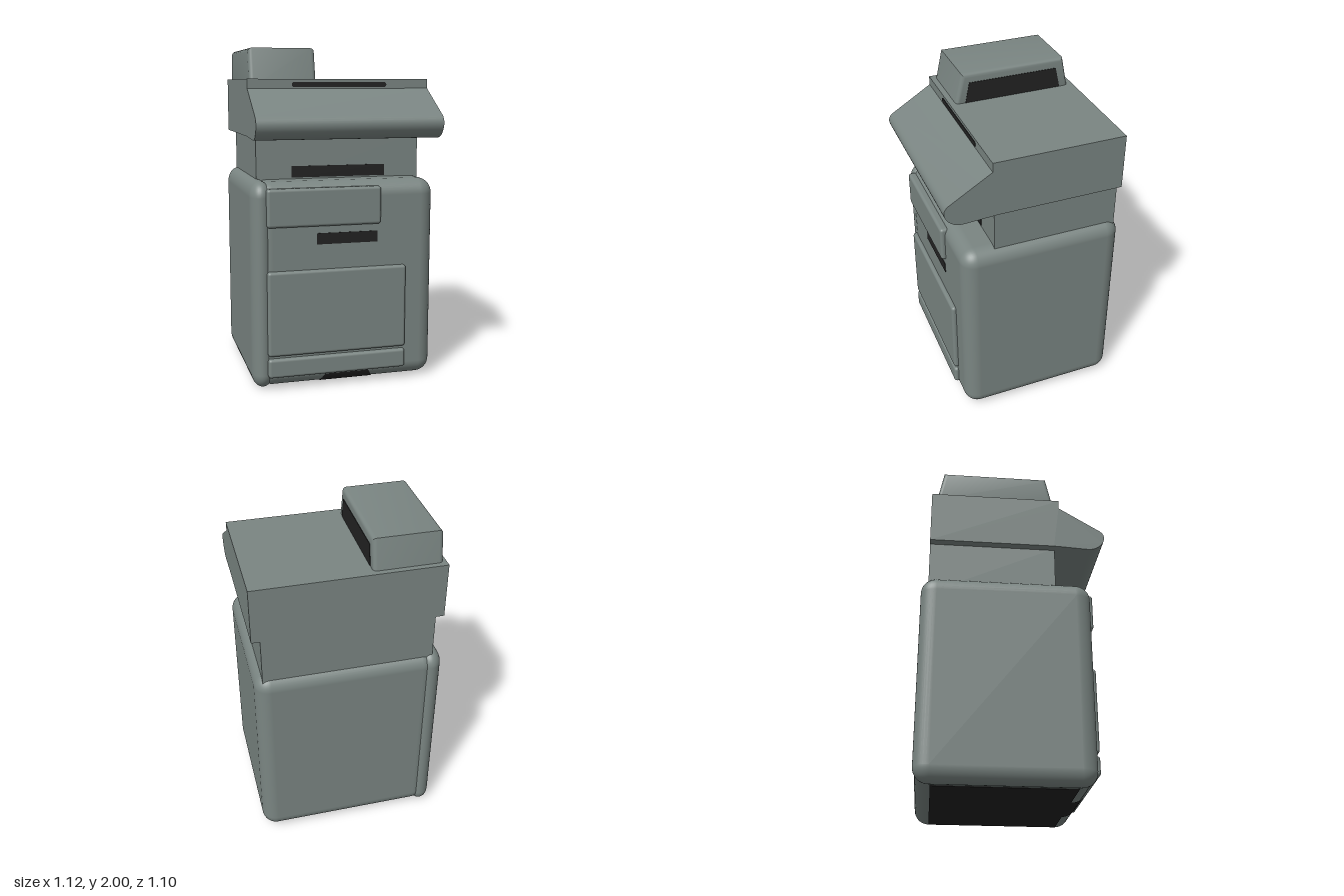
import * as THREE from 'three';
import { RoundedBoxGeometry } from 'three/addons/geometries/RoundedBoxGeometry.js';
import { toCreasedNormals } from 'three/addons/utils/BufferGeometryUtils.js';

export function createModel() {
  const model = new THREE.Group();
  model.name = 'officeCopier';

  const casing = new THREE.MeshStandardMaterial({ color: 0x7a8582 });
  casing.name = 'greyCasing';
  const dark = new THREE.MeshStandardMaterial({ color: 0x222222 });
  dark.name = 'darkOpening';

  const add = (name, geometry, material) => {
    const mesh = new THREE.Mesh(geometry, material);
    mesh.name = name;
    model.add(mesh);
    return mesh;
  };

  // Boxes given by their minimum and maximum corners; r rounds the edges
  const box = (name, [x0, y0, z0], [x1, y1, z1], material, r = 0) => {
    const size = [x1 - x0, y1 - y0, z1 - z0];
    const geometry = r ? new RoundedBoxGeometry(...size, 5, r) : new THREE.BoxGeometry(...size);
    geometry.translate((x0 + x1) / 2, (y0 + y1) / 2, (z0 + z1) / 2);
    return add(name, geometry, material);
  };

  // Side profile (z, y) extruded from x0 to x1, optionally bevelled inside its size
  const sideProfile = (name, shape, x0, x1, material, bevel = 0) => {
    const geometry = new THREE.ExtrudeGeometry(shape, {
      depth: x1 - x0 - 2 * bevel, curveSegments: 14,
      bevelEnabled: bevel > 0, bevelSize: bevel, bevelThickness: bevel,
      bevelOffset: -bevel, bevelSegments: 4,
    });
    geometry.rotateY(-Math.PI / 2).translate(x1 - bevel, 0, 0);
    return add(name, toCreasedNormals(geometry, 0.6), material);
  };
  const polygon = (points) => new THREE.Shape(points.map((p) => new THREE.Vector2(...p)));

  // Main cabinet
  box('cabinet', [-0.53, 0.01, -0.542], [0.555, 1.23, 0.45], casing, 0.09);

  // Bulging side cover: a rounded slab squeezed in thickness
  const cover = new RoundedBoxGeometry(0.18, 1.235, 1.003, 5, 0.09);
  cover.scale(0.72, 1, 1).translate(-0.498, 0.6175, -0.0485);
  add('sideCover', cover, casing);

  // Doors and drawers on the front
  box('upperDoor', [-0.478, 0.973, 0.42], [0.207, 1.198, 0.476], casing, 0.018);
  box('paperDoor', [-0.478, 0.208, 0.42], [0.368, 0.715, 0.476], casing, 0.018);
  box('bottomDrawer', [-0.478, 0.077, 0.42], [0.368, 0.192, 0.476], casing, 0.018);

  // Dark slots and base
  box('cabinetSlot', [-0.18, 0.864, 0.447], [0.19, 0.93, 0.453], dark);
  box('basePlate', [-0.44, 0.007, -0.452], [0.465, 0.012, 0.36], dark);

  // Tapered foot recess that follows the curved lower edge
  const recess = new THREE.PlaneGeometry(1, 1, 1, 8);
  const pos = recess.attributes.position;
  for (let i = 0; i < pos.count; i++) {
    const t = 0.5 - pos.getY(i);
    const a = THREE.MathUtils.lerp(0.32, Math.PI / 2, t);
    const y = 0.1 - 0.094 * Math.sin(a);
    const width = THREE.MathUtils.mapLinear(y, 0.07, 0.006, 0.27, 0.345);
    pos.setXYZ(i, 0.005 + pos.getX(i) * width, y, 0.36 + 0.094 * Math.cos(a));
  }
  recess.computeVertexNormals();
  add('footRecess', recess, dark);

  // Neck with paper exit
  box('neck', [-0.5, 1.15, -0.509], [0.51, 1.5, 0.25], casing);
  box('paperExit', [-0.285, 1.238, 0.247], [0.297, 1.306, 0.253], dark);

  // Scanner head with sloping control nose
  const head = polygon([[-0.51, 1.487], [0.24, 1.487], [0.45, 1.476]]);
  head.bezierCurveTo(0.53, 1.474, 0.59, 1.57, 0.525, 1.612);
  head.lineTo(0.275, 1.765);
  head.lineTo(0.275, 1.82);
  head.lineTo(-0.51, 1.82);
  sideProfile('scannerHead', head, -0.55, 0.56, casing);

  // Thin rounded slot under the top edge of the head
  const slot = new THREE.Shape();
  slot.absarc(0.281, 1.787, 0.015, -Math.PI / 2, Math.PI / 2);
  slot.absarc(-0.271, 1.787, 0.015, Math.PI / 2, Math.PI * 1.5);
  const slotGeometry = new THREE.ExtrudeGeometry(slot, { depth: 0.006, bevelEnabled: false });
  add('headSlot', slotGeometry.translate(0, 0, 0.272), dark);

  // Document feeder with a dark side opening
  const feeder = polygon([[-0.484, 1.78], [0.249, 1.78], [0.2, 2], [-0.44, 2]]);
  sideProfile('documentFeeder', feeder, -0.53, -0.13, casing, 0.025);
  const opening = polygon([[-0.42, 1.821], [0.182, 1.821], [0.157, 1.945], [-0.392, 1.945]]);
  sideProfile('feederOpening', opening, -0.133, -0.127, dark);

  return model;
}
